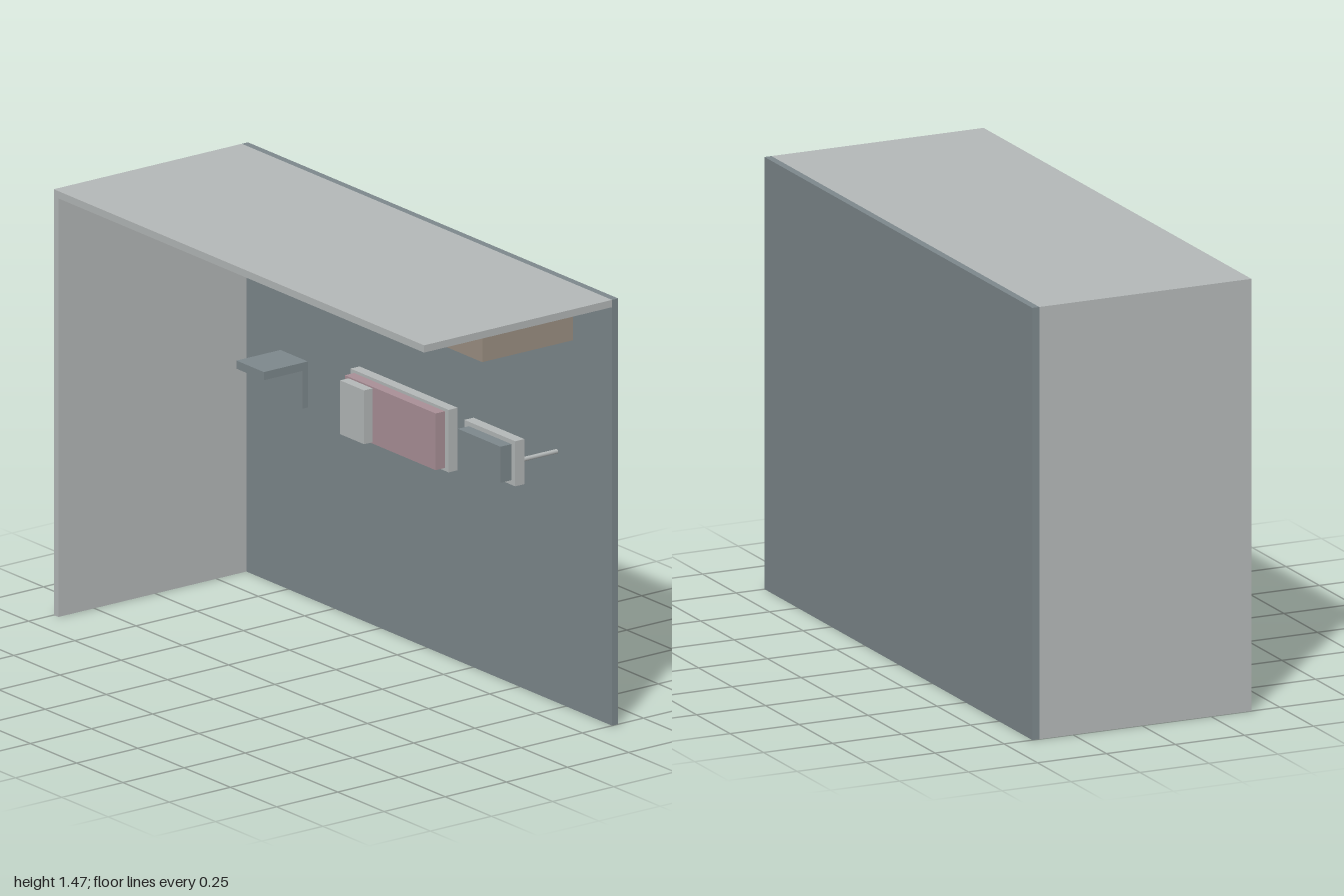
import * as THREE from 'three';

export function createModel() {
  const model = new THREE.Group();
  model.name = 'wallDisplay';

  const material = (name, color) => {
    const m = new THREE.MeshStandardMaterial({ color });
    m.name = name;
    return m;
  };
  const slate = material('slate', 0x7d888c);
  const paleGrey = material('paleGrey', 0xb4b8b8);
  const pink = material('dustyPink', 0xa99097);
  const wood = material('wood', 0x9c9083);

  // Box given by its extents along each axis
  const box = (parent, name, mat, [x0, x1], [y0, y1], [z0, z1]) => {
    const mesh = new THREE.Mesh(new THREE.BoxGeometry(x1 - x0, y1 - y0, z1 - z0), mat);
    mesh.position.set((x0 + x1) / 2, (y0 + y1) / 2, (z0 + z1) / 2);
    mesh.name = name;
    parent.add(mesh);
    return mesh;
  };
  const group = (name) => {
    const g = new THREE.Group();
    g.name = name;
    model.add(g);
    return g;
  };

  // Room shell: back wall, one side wall and the ceiling
  const shell = group('shell');
  box(shell, 'backWall', slate, [-1, 1], [0, 1.465], [-0.397, -0.372]);
  box(shell, 'sideWall', paleGrey, [-1, -0.975], [0, 1.44], [-0.372, 0.397]);
  box(shell, 'ceiling', paleGrey, [-1, 1], [1.44, 1.465], [-0.372, 0.397]);

  // Wooden cabinet high on the back wall
  box(model, 'cabinet', wood, [0.545, 0.79], [1.27, 1.39], [-0.372, 0]);

  // Upper unit: wide front panel with a narrower body behind
  const upper = group('upperUnit');
  box(upper, 'frontPanel', paleGrey, [-0.77, -0.555], [1.245, 1.37], [-0.15, -0.115]);
  box(upper, 'rearBody', paleGrey, [-0.73, -0.595], [1.28, 1.403], [-0.267, -0.15]);

  // L-shaped seat: flat top with an upright below its rear edge
  const seat = group('seat');
  box(seat, 'seatTop', slate, [-0.663, -0.515], [0.838, 0.866], [-0.275, -0.095]);
  box(seat, 'seatUpright', slate, [-0.663, -0.515], [0.708, 0.838], [-0.275, -0.252]);

  // Bed: base frame, pink mattress and pale pillow block, stacked forward
  const bed = group('bed');
  box(bed, 'bedFrame', paleGrey, [-0.17, 0.36], [0.737, 0.952], [-0.225, -0.188]);
  box(bed, 'mattress', pink, [-0.15, 0.34], [0.747, 0.942], [-0.188, -0.15]);
  box(bed, 'pillow', paleGrey, [-0.13, 0], [0.752, 0.937], [-0.15, -0.115]);

  // Framed screen held off the wall by a thin rod
  const screen = group('screen');
  box(screen, 'screenFrame', paleGrey, [0.455, 0.73], [0.79, 0.945], [-0.218, -0.18]);
  box(screen, 'screenPanel', slate, [0.48, 0.71], [0.806, 0.93], [-0.18, -0.135]);
  const rod = new THREE.Mesh(new THREE.CylinderGeometry(0.008, 0.008, 0.147, 8), paleGrey);
  rod.rotation.x = Math.PI / 2;
  rod.position.set(0.71, 0.868, -0.2915);
  rod.name = 'supportRod';
  screen.add(rod);

  return model;
}
